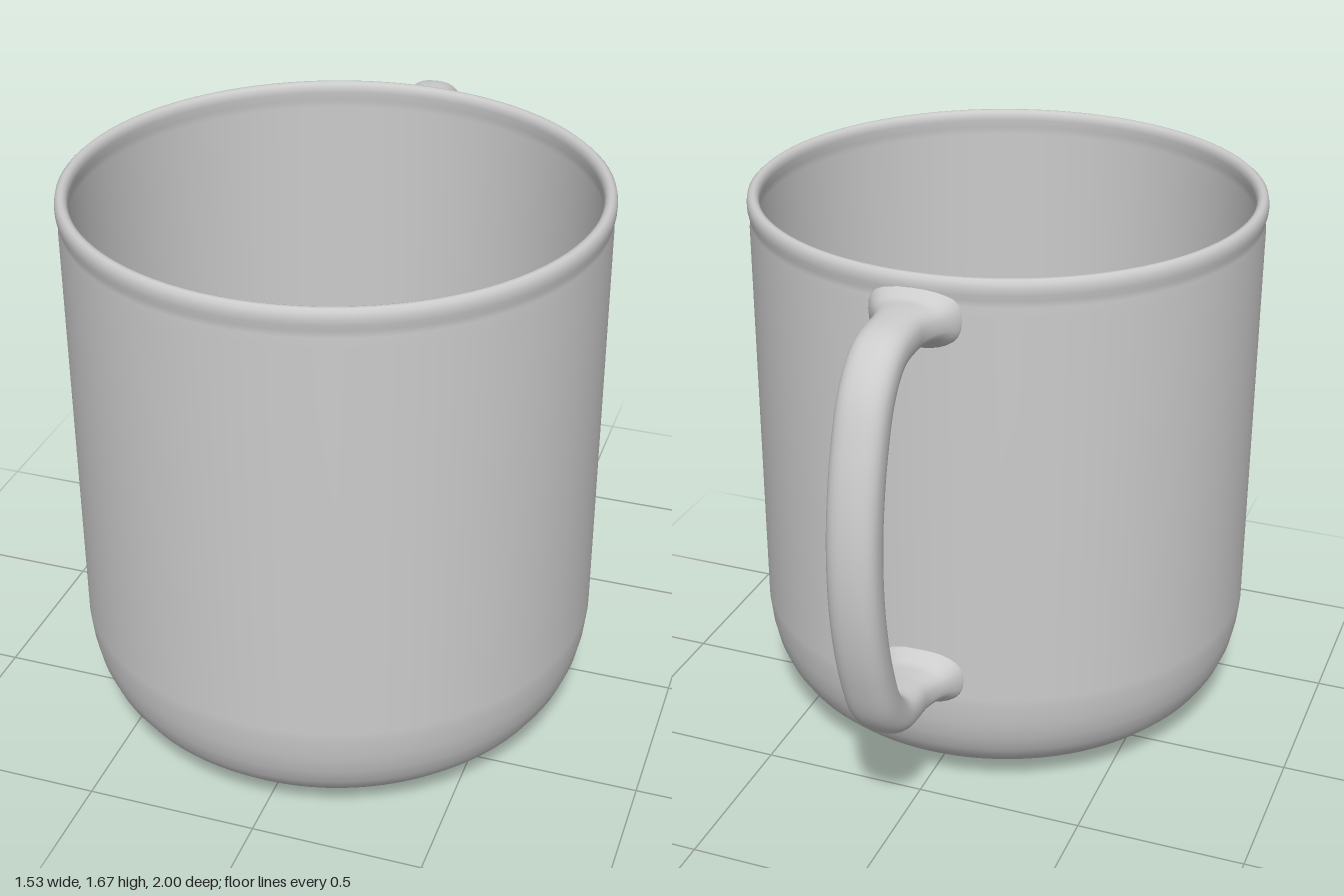
import * as THREE from 'three';

const CUP_Z = 0.235;       // cup axis, shifted forward to balance the handle
const CUP_R = 0.76;        // outer wall radius
const HANDLE_X = -0.012;
const MID_Y = 0.992;       // height about which the handle is symmetric

const material = new THREE.MeshStandardMaterial({ color: 0xcccccc });

function addMesh(group, name, geometry) {
  const mesh = new THREE.Mesh(geometry, material);
  mesh.name = name;
  group.add(mesh);
  return mesh;
}

// Hollow cup: outside from the base up, over the rolled rim, down the inside
function cupGeometry() {
  const profile = [
    // base and rounded lower corner
    [0, 0], [0.33, 0], [0.39, 0.004], [0.46, 0.012], [0.52, 0.025], [0.57, 0.04],
    [0.615, 0.06], [0.655, 0.088], [0.69, 0.122], [0.718, 0.165], [0.74, 0.22],
    [0.753, 0.28], [0.76, 0.345], [0.76, 0.37],
    // outer wall and rolled rim
    [0.76, 1.57], [0.757, 1.595], [0.759, 1.615], [0.764, 1.632], [0.765, 1.65],
    [0.762, 1.666], [0.753, 1.674], [0.744, 1.675], [0.735, 1.671], [0.729, 1.66],
    [0.728, 1.645], [0.732, 1.62], [0.735, 1.595],
    // inner wall and floor
    [0.735, 0.37], [0.734, 0.345], [0.727, 0.28], [0.714, 0.225], [0.694, 0.178],
    [0.667, 0.138], [0.635, 0.107], [0.597, 0.082], [0.55, 0.062], [0.49, 0.046],
    [0.42, 0.035], [0.33, 0.03], [0, 0.03],
  ];
  return new THREE.LatheGeometry(profile.map(([r, y]) => new THREE.Vector2(r, y)), 96);
}

// Handle: a rounded section swept along a C-shaped path, flaring into the wall
function handleGeometry() {
  const half = [
    [-0.51, 0.563], [-0.65, 0.563], [-0.755, 0.546], [-0.834, 0.47],
    [-0.892, 0.33], [-0.929, 0.165],
  ];
  const points = [
    ...half.map(([z, y]) => new THREE.Vector3(HANDLE_X, MID_Y + y, z)),
    new THREE.Vector3(HANDLE_X, MID_Y, -0.941),
    ...half.slice().reverse().map(([z, y]) => new THREE.Vector3(HANDLE_X, MID_Y - y, z)),
  ];
  const path = new THREE.CatmullRomCurve3(points);
  const rings = 160, sides = 28;
  const position = [], index = [];
  const soften = (v) => Math.sign(v) * Math.abs(v) ** 0.8;
  const fade = (d, reach) => Math.max(0, 1 - d / reach) ** 2;

  for (let i = 0; i <= rings; i++) {
    const c = path.getPointAt(i / rings);
    const t = path.getTangentAt(i / rings);
    const d = Math.max(0, CUP_Z - CUP_R - c.z);   // distance from the wall
    const halfWidth = 0.074 + 0.062 * fade(d, 0.12);
    const halfDepth = 0.058 + 0.032 * fade(d, 0.05);
    for (let j = 0; j < sides; j++) {
      const a = (j / sides) * Math.PI * 2;
      const x = c.x + soften(Math.cos(a)) * halfWidth;
      const n = soften(Math.sin(a)) * halfDepth;
      // follow the curve of the cup near the joint
      const bend = (CUP_R - Math.sqrt(CUP_R ** 2 - x ** 2)) * fade(d, 0.12);
      position.push(x, c.y + n * t.z, c.z - n * t.y + bend);
      if (i < rings) {
        const p = i * sides + j, q = i * sides + ((j + 1) % sides);
        index.push(p, q, p + sides, q, q + sides, p + sides);
      }
    }
  }
  const geometry = new THREE.BufferGeometry();
  geometry.setAttribute('position', new THREE.Float32BufferAttribute(position, 3));
  geometry.setIndex(index);
  geometry.computeVertexNormals();
  return geometry;
}

export function createModel() {
  const mug = new THREE.Group();
  mug.name = 'mug';
  addMesh(mug, 'cup', cupGeometry()).position.z = CUP_Z;
  addMesh(mug, 'handle', handleGeometry());
  return mug;
}
